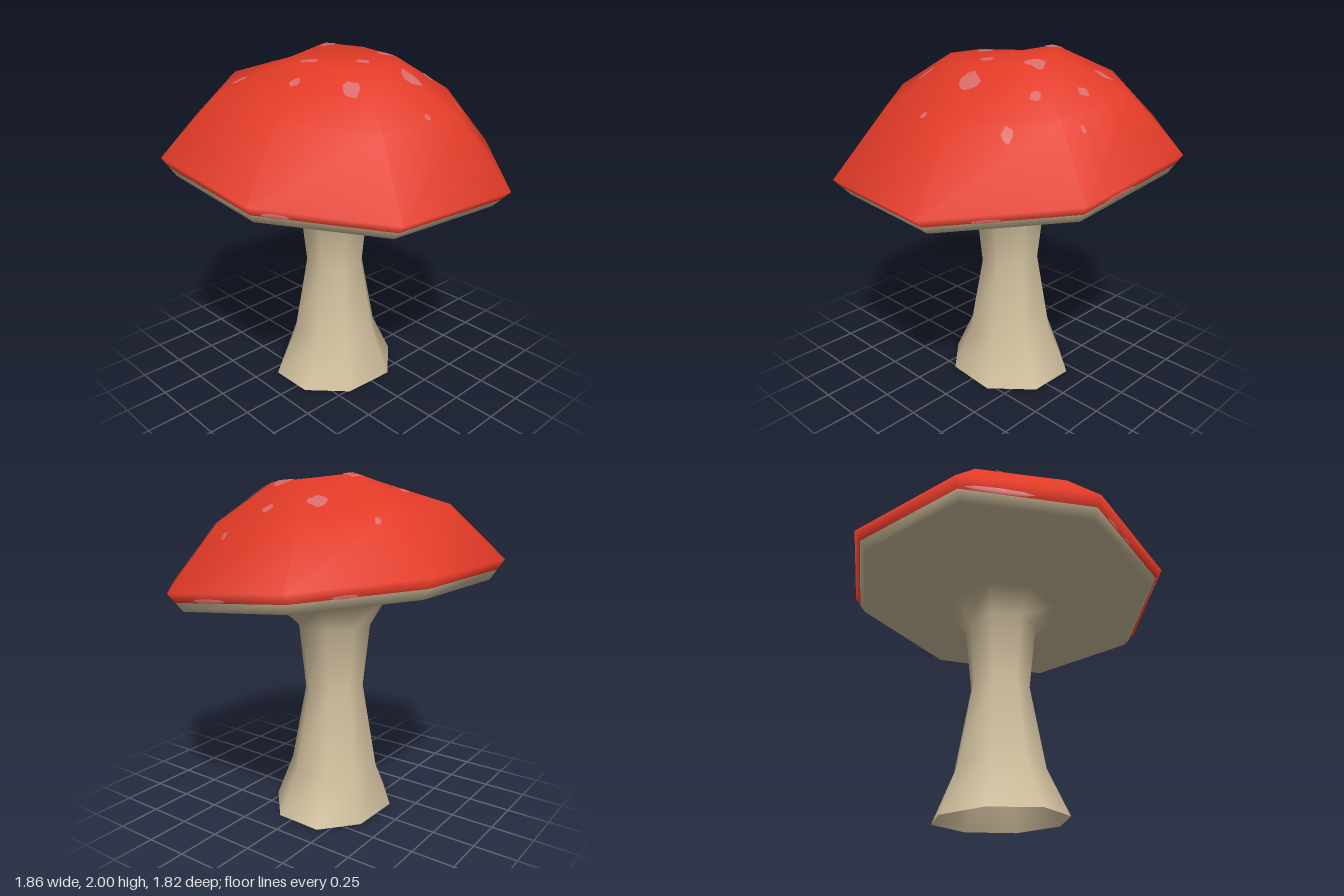
import * as THREE from 'three';

const mat = (name, color, side = THREE.FrontSide) =>
  Object.assign(new THREE.MeshStandardMaterial({ color, side }), { name });

// Uneven octagon [x, z] shared by every ring, counter-clockwise from above
const OCT = [[0.31, 0.9], [0.87, 0.43], [0.93, -0.34], [0.37, -0.89],
  [-0.42, -0.91], [-0.9, -0.41], [-0.93, 0.36], [-0.42, 0.91]];
const N = OCT.length;

// Rings from the ground up: height, tilt along x, x scale, z scale, x centre
const RINGS = [
  [0, 0, 0.355, 0.405, -0.043],
  [0.265, -0.02, 0.265, 0.27, -0.047],
  [0.745, -0.12, 0.177, 0.179, -0.05],
  [1.14, 0, 0.218, 0.222, -0.047],
  [1.26, -0.105, 0.328, 0.33, -0.025],
  [1.337, -0.109, 0.915, 0.925, -0.01],
  [1.39, -0.11, 0.9575, 0.9625, -0.005],
  [1.443, -0.11, 1, 1, 0],
  [1.77, -0.1, 0.69, 0.7, 0],
  [1.965, -0.09, 0.33, 0.33, 0.02],
];
const FLARE = 4, LOWER = 5, MID = 6, RIM = 7, TOP = 9;
// Small bumps of the crown's corners
const CROWN = [0, 0, 0, 0, 0, 0.01, -0.045, -0.025];

function ringPoint(r, i) {
  const [y, tilt, sx, sz, cx] = RINGS[r];
  const x = cx + OCT[i % N][0] * sx;
  return new THREE.Vector3(x, y + tilt * x + (r === TOP ? CROWN[i % N] : 0), OCT[i % N][1] * sz);
}

// Triangles of the bands between two rings
function bands(from, to) {
  const out = [];
  for (let r = from; r < to; r++) {
    for (let i = 0; i < N; i++) {
      const a = r * N + i, b = r * N + (i + 1) % N;
      out.push(a, b, b + N, a, b + N, a + N);
    }
  }
  return out;
}

// Thin patch from a centre and a loop of points
function fan(points, normals) {
  const g = new THREE.BufferGeometry().setFromPoints(points);
  const index = [];
  const n = points.length - 1;
  for (let i = 0; i < n; i++) index.push(0, 1 + i, 1 + (i + 1) % n);
  g.setIndex(index);
  g.setAttribute('normal', new THREE.Float32BufferAttribute(normals.flatMap(v => v.toArray()), 3));
  return g;
}

export function createModel() {
  const group = new THREE.Group();
  const red = mat('cap red', 0xe23a27);
  const beige = mat('stem beige', 0xd2c19f, THREE.DoubleSide);
  const pink = mat('spot pink', 0xd76a6a, THREE.DoubleSide);

  // One smooth skin; the parts share its points and normals
  const pts = [];
  for (let r = 0; r < RINGS.length; r++) for (let i = 0; i < N; i++) pts.push(ringPoint(r, i));
  pts.push(new THREE.Vector3(0.02, 1.963, 0));
  const crown = [];
  for (let i = 0; i < N; i++) crown.push(TOP * N + i, TOP * N + (i + 1) % N, pts.length - 1);

  const skin = new THREE.BufferGeometry().setFromPoints(pts);
  skin.setIndex([...bands(0, TOP), ...crown]);
  skin.computeVertexNormals();
  const nor = skin.attributes.normal;
  const normalAt = k => new THREE.Vector3().fromBufferAttribute(nor, k);
  for (let i = 0; i < N; i++) {
    const v = normalAt(LOWER * N + i).add(normalAt(RIM * N + i)).normalize();
    nor.setXYZ(MID * N + i, v.x, v.y, v.z);
  }

  const part = (name, index, material) => {
    const g = new THREE.BufferGeometry();
    g.setAttribute('position', skin.attributes.position);
    g.setAttribute('normal', nor);
    g.setIndex(index);
    const m = new THREE.Mesh(g, material);
    m.name = name;
    group.add(m);
    return m;
  };
  part('stem', bands(0, FLARE), beige);
  part('capUnderside', bands(FLARE, MID), beige);
  const cap = part('cap', [...bands(MID, TOP), ...crown], red);
  cap.updateMatrixWorld();

  // Spots draped on the cap: x, z, radius
  const spots = [
    [-0.28, -0.47, 0.05], [-0.02, -0.54, 0.03], [0.24, -0.45, 0.029], [0.46, -0.47, 0.028],
    [0.15, -0.68, 0.014], [-0.58, -0.39, 0.016], [0.07, -0.29, 0.057], [-0.26, -0.13, 0.055],
    [0.39, -0.14, 0.054], [0.15, -0.02, 0.038], [0.6, -0.03, 0.018], [-0.43, 0.12, 0.028],
    [-0.04, 0.19, 0.05], [0.34, 0.25, 0.046], [-0.555, 0.35, 0.016], [-0.3, 0.46, 0.04],
    [0.1, 0.41, 0.028],
  ];
  const ray = new THREE.Raycaster();
  const down = new THREE.Vector3(0, -1, 0);
  const spotGroup = new THREE.Group();
  spotGroup.name = 'spots';
  spots.forEach(([x, z, r], s) => {
    const points = [], normals = [];
    for (let k = -1; k < 10; k++) {
      const a = k * Math.PI / 5;
      const rr = k < 0 ? 0 : r * (1 + 0.14 * Math.sin(k * 2.3 + s * 1.7));
      ray.set(new THREE.Vector3(x + Math.sin(a) * rr, 3, z + Math.cos(a) * rr), down);
      const hit = ray.intersectObject(cap)[0];
      points.push(hit.point.clone().addScaledVector(hit.face.normal, 0.005));
      normals.push(hit.normal.clone());
    }
    const m = new THREE.Mesh(fan(points, normals), pink);
    m.name = 'spot';
    spotGroup.add(m);
  });

  // Worn patches along the cap's lower edge: side, start, end, height of the band
  const patches = [[6, 0.05, 0.55, 0.2], [7, 0.15, 0.3, 0.1], [7, 0.4, 0.52, 0.09],
    [0, 0.08, 0.28, 0.28], [2, 0.3, 0.5, 0.2], [3, 0.2, 0.5, 0.22], [4, 0.3, 0.5, 0.15]];
  for (const [side, t0, t1, h] of patches) {
    const a = side, b = (side + 1) % N;
    const points = [], normals = [];
    const tm = (t0 + t1) / 2, dt = (t1 - t0) / 2;
    for (let k = -1; k < 8; k++) {
      const ang = -k * Math.PI / 4;
      const t = tm + (k < 0 ? 0 : Math.cos(ang) * dt);
      const v = 0.5 - h / 2 + (k < 0 ? 0 : Math.sin(ang) * h / 2);
      const p = ringPoint(RIM, a).lerp(ringPoint(RIM, b), t)
        .lerp(ringPoint(LOWER, a).lerp(ringPoint(LOWER, b), t), v);
      const n = normalAt(RIM * N + a).lerp(normalAt(RIM * N + b), t)
        .lerp(normalAt(LOWER * N + a).lerp(normalAt(LOWER * N + b), t), v).normalize();
      points.push(p.addScaledVector(n, 0.005));
      normals.push(n);
    }
    const g = fan(points, normals);
    // Keep the front of the patch facing outwards
    const [c, p, q] = points;
    if (p.clone().sub(c).cross(q.clone().sub(c)).dot(normals[0]) < 0) {
      g.setIndex(Array.from(g.index.array).reverse());
    }
    const m = new THREE.Mesh(g, pink);
    m.name = 'edgePatch';
    spotGroup.add(m);
  }
  group.add(spotGroup);
  return group;
}
